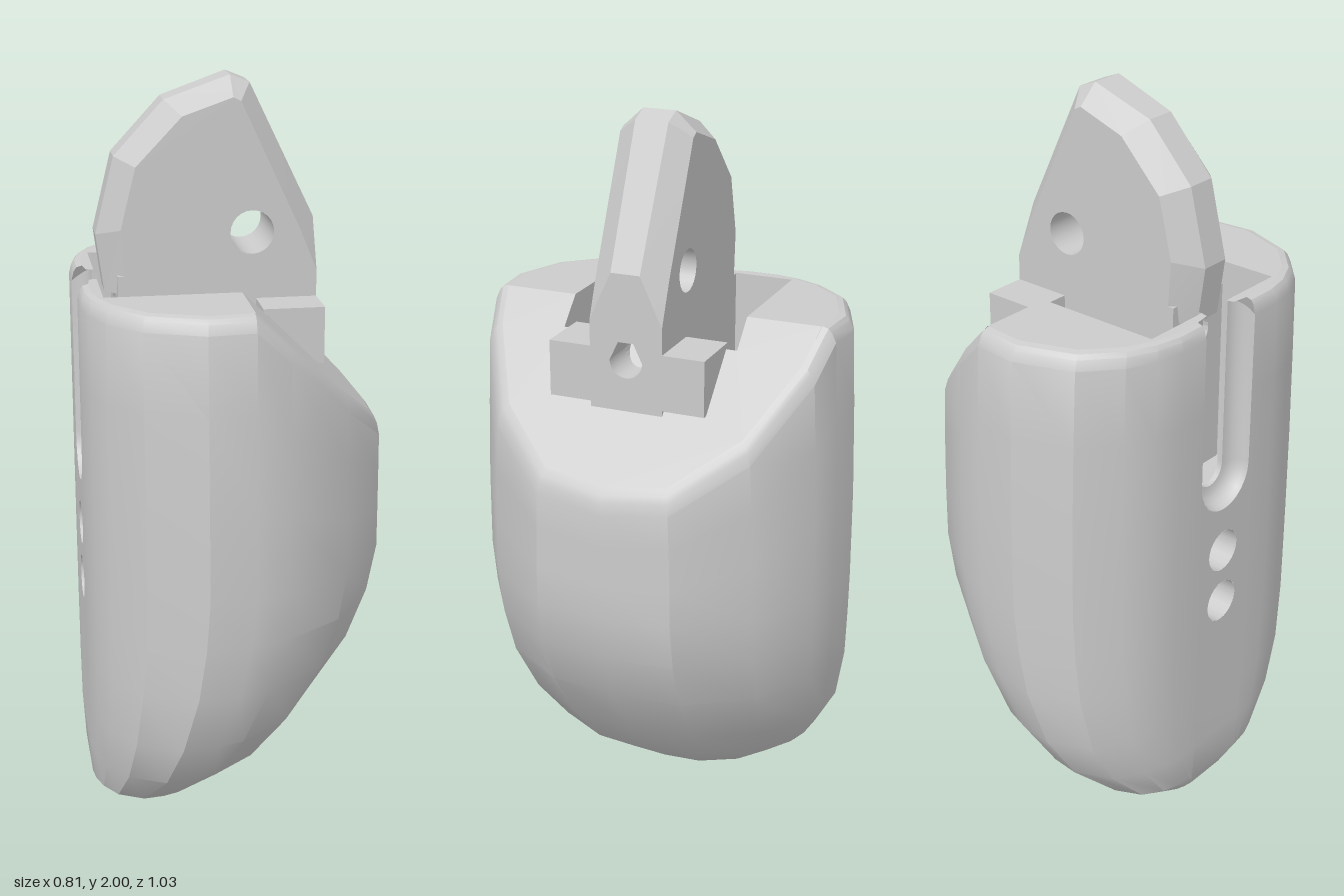
import * as THREE from 'three';
import { toCreasedNormals } from 'three/addons/utils/BufferGeometryUtils.js';

const material = new THREE.MeshStandardMaterial({ color: 0xcccccc, side: THREE.DoubleSide });
const lerp = THREE.MathUtils.lerp;
const BACK = -0.405;
// Height of the top: level behind x = 0, sloping down beyond it
const topY = x => 1.485 - Math.max(0, x);

// Skin a list of equally long point rows
function loft(rows, crease = 0.5) {
  const n = rows[0].length, index = [];
  for (let r = 0; r < rows.length - 1; r++)
    for (let c = 0; c < n - 1; c++) {
      const a = r * n + c, b = a + n;
      index.push(a, b, a + 1, a + 1, b, b + 1);
    }
  const g = new THREE.BufferGeometry();
  g.setAttribute('position', new THREE.Float32BufferAttribute(rows.flat(2), 3));
  g.setIndex(index);
  return toCreasedNormals(g, crease);
}

// Triangulate a 2D shape and place each point in space by a rule
function sheet(shape, place) {
  const g = new THREE.ShapeGeometry(shape, 12), p = g.attributes.position;
  for (let i = 0; i < p.count; i++) p.setXYZ(i, ...place(p.getX(i), p.getY(i)));
  g.computeVertexNormals();
  return g;
}

const shapeOf = pts => new THREE.Shape(pts.map(([a, b]) => new THREE.Vector2(a, b)));
const circle = (x, y, r) => new THREE.Path().absarc(x, y, r, 0, Math.PI * 2, true);

export function createModel() {
  const group = new THREE.Group();
  const add = (name, geometry, x = 0, y = 0, z = 0) => {
    const mesh = new THREE.Mesh(geometry, material);
    mesh.name = name;
    mesh.position.set(x, y, z);
    group.add(mesh);
    return mesh;
  };

  // D-shaped plan of the body, from the back slot round the front and back again
  const half = [[-0.4, 0.1], [-0.4, 0.2], [-0.385, 0.28], [-0.35, 0.36], [-0.27, 0.455], [-0.12, 0.515],
    [0, 0.505], [0.09, 0.48], [0.26, 0.37], [0.38, 0.19], [0.4, 0]];
  const plan = [...half, ...half.slice(0, -1).reverse().map(([x, z]) => [x, -z])];
  const section = (front, depth, back, height) => plan.map(([px, pz], i) => {
    const s = depth / 0.515;
    const x = lerp(back, front, (px + 0.4) / 0.8);
    const edge = i === 0 || i === plan.length - 1;
    const z = edge ? Math.sign(pz) * Math.min(0.1, 0.2 * s) : pz * s;
    return [x, height(x), z];
  });

  // Rounded lower bowl: height, front x, half depth, back x
  const bowl = [[0, -0.25, 0, -0.25], [0, -0.22, 0.08, -0.28], [0.02, -0.17, 0.16, -0.37],
    [0.08, -0.04, 0.285, -0.4], [0.19, 0.11, 0.4, BACK], [0.32, 0.215, 0.47, BACK], [0.48, 0.32, 0.502, BACK]]
    .map(([y, f, d, b]) => section(f, d, b, () => y));
  const upper = [bowl[6], section(0.375, 0.511, BACK, () => 0.62), section(0.4, 0.515, BACK, () => 0.75)];
  for (const [t, d] of [[0.35, 0.513], [0.7, 0.505], [1, 0.495]])
    upper.push(section(0.4, d, BACK, x => lerp(0.75, topY(x) - 0.04, t)));
  // Rounded rim
  for (const [s, drop] of [[0.985, 0.015], [0.965, 0.004], [0.93, 0]])
    upper.push(section(0.4 * s, 0.49 * s, BACK * s, x => topY(x) - drop));
  const bowlRows = bowl.map(row => [...row, row[0]]);
  const all = [...bowl, ...upper.slice(1)];
  add('bodyShell', loft(all, 0.45));
  add('lowerBackStrip', loft(bowlRows.map(r => r.slice(-2)), 0.45));

  // Top surface around the pocket, level part and sloping part
  const rim = upper[upper.length - 1].map(([x, , z]) => [x, z]);
  const mid = 6, last = rim.length - 1;
  rim[mid][0] = rim[last - mid][0] = Math.max(0, rim[mid][0]);
  const mx = rim[mid][0];
  const place = (x, z) => [x, topY(x), z];
  for (const side of [1, -1]) {
    const edge = rim.slice(0, mid + 1).map(([x, z]) => [x, z * side]);
    add('topFlat', sheet(shapeOf([...edge, [mx, 0.245 * side], [-0.35, 0.245 * side],
      [-0.35, 0.05 * side], [-0.37, 0.055 * side]]), place));
  }
  add('topSlope', sheet(shapeOf([...rim.slice(mid, last - mid + 1),
    [mx, -0.245], [0.07, -0.245], [0.07, 0.245], [mx, 0.245]]), place));

  // Pocket walls and floor
  const pocket = [[-0.35, 0.05], [-0.35, 0.245], [mx, 0.245], [0.07, 0.245],
    [0.07, -0.245], [mx, -0.245], [-0.35, -0.245], [-0.35, -0.05]];
  add('pocketWalls', loft([pocket.map(([x, z]) => [x, 0.9, z]), pocket.map(([x, z]) => [x, topY(x), z])]));
  const floor = new THREE.PlaneGeometry(0.43, 0.49).rotateX(-Math.PI / 2);
  add('pocketFloor', floor, -0.14, 0.9, 0);

  // Back panel below the slot with two round holes
  const panel = new THREE.Shape();
  panel.moveTo(-0.1, 0.48).lineTo(0.1, 0.48).lineTo(0.1, 1.02);
  panel.absarc(0, 1.02, 0.1, 0, -Math.PI, true);
  panel.closePath();
  for (const y of [0.63, 0.79]) {
    panel.holes.push(circle(0, y, 0.06));
    add('backHole', new THREE.CylinderGeometry(0.06, 0.06, 0.08, 16, 1, true).rotateZ(Math.PI / 2), BACK + 0.04, y);
    add('backHoleEnd', new THREE.CircleGeometry(0.06, 16).rotateY(-Math.PI / 2), BACK + 0.08, y);
  }
  add('backPanel', sheet(panel, (z, y) => [BACK, y, z]));

  // Rounded lip running down, round and up the back slot
  const lip = [];
  for (let k = 0; k <= 6; k++) {
    const a = Math.min(k, 5) / 5 * Math.PI / 2;
    const r = 0.1 - 0.05 * (1 - Math.cos(a));
    const x = k === 6 ? -0.34 : BACK + 0.05 * Math.sin(a);
    const top = 1.445 + 0.04 * Math.sin(a);
    const row = [[x, top, r]];
    for (let i = 0; i <= 12; i++) {
      const b = i / 12 * Math.PI;
      row.push([x, 1.02 - Math.sin(b) * r, Math.cos(b) * r]);
    }
    row.push([x, top, -r]);
    lip.push(row);
  }
  add('slotLip', loft(lip, 0.7));

  // Bevelled blade: edge outline x, y and face outline x, y
  const blade = [[-0.33, 1.45, -0.28, 1.45], [-0.35, 1.6, -0.29, 1.62], [-0.3, 1.8, -0.25, 1.78],
    [-0.17, 1.94, -0.13, 1.905], [0, 2, 0, 1.95], [0.05, 1.98, 0.02, 1.94],
    [0.22, 1.63, 0.175, 1.61], [0.22, 1.5, 0.22, 1.5], [0.22, 1.45, 0.22, 1.45]];
  const edgeWidth = [0.04, 0.04, 0.04, 0.04, 0.045, 0.045, 0.04, 0.1, 0.1];
  const ring = (sign, inner) => blade.map(p =>
    [p[inner ? 2 : 0], p[inner ? 3 : 1], sign * 0.1]);
  const edge = sign => blade.map((p, i) => [p[0], p[1], sign * edgeWidth[i]]);
  add('bladeEdge', loft([ring(1, true), edge(1), edge(-1), ring(-1, true)], 0.2));
  for (const s of [1, -1]) {
    const face = shapeOf(blade.map(p => [p[2], p[3]]));
    face.holes.push(circle(0.05, 1.605, 0.057));
    add('bladeFace', sheet(face, (x, y) => [x, y, s * 0.1]));
  }
  add('bladeHole', new THREE.CylinderGeometry(0.057, 0.057, 0.2, 24, 1, true).rotateX(Math.PI / 2), 0.05, 1.605);

  // Blade root with a lengthwise bore that opens into a teardrop at the front
  const root = (name, hole, x0, x1) => {
    const s = shapeOf([[-0.1, 1], [0.1, 1], [0.1, 1.5], [-0.1, 1.5]]);
    s.holes.push(hole);
    const g = new THREE.ExtrudeGeometry(s, { depth: x1 - x0, bevelEnabled: false, curveSegments: 12 });
    add(name, g.rotateY(Math.PI / 2), x0);
  };
  const tear = new THREE.Path();
  tear.moveTo(0, 1.495).lineTo(-0.045, 1.4);
  tear.absarc(0, 1.4, 0.045, Math.PI, Math.PI * 2, false);
  tear.closePath();
  root('bladeRoot', circle(0, 1.4, 0.045), -0.3, 0.12);
  root('bladeRootFront', tear, 0.12, 0.22);

  // Feet beside the root, resting on the slope
  for (const s of [1, -1])
    add('foot', new THREE.BoxGeometry(0.16, 0.15, 0.115), 0.14, 1.355, s * 0.1575);

  return group;
}
